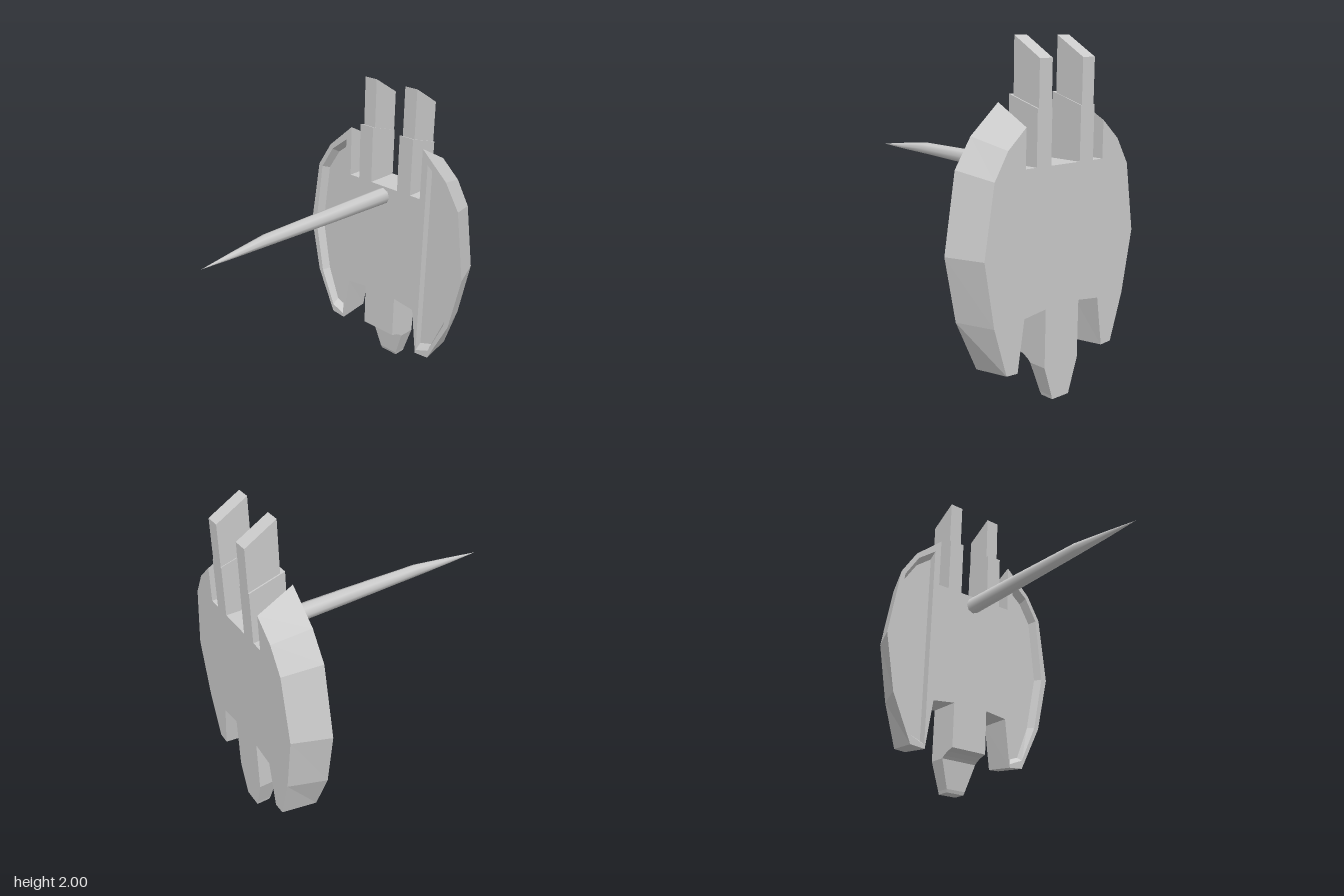
import * as THREE from 'three';

const FRONT = -0.635, BACK = -0.85;
const material = new THREE.MeshStandardMaterial({ color: 0xcccccc, flatShading: true });
const smooth = new THREE.MeshStandardMaterial({ color: 0xcccccc });

const v2 = (pts) => pts.map(([x, y]) => new THREE.Vector2(x, y));
const mirror = (pts) => pts.map(([x, y]) => [-x, y]).reverse();

function mesh(name, geometry, mat = material) {
  const m = new THREE.Mesh(geometry, mat);
  m.name = name;
  return m;
}

function fromTriangles(positions) {
  const g = new THREE.BufferGeometry();
  g.setAttribute('position', new THREE.Float32BufferAttribute(positions, 3));
  g.computeVertexNormals();
  return g;
}

// Flat cap at depth z, facing +z, or -z when flipped
function addCap(out, outline, holes, z, flip = false) {
  const all = [outline, ...holes].flat();
  for (const [a, b, c] of THREE.ShapeUtils.triangulateShape(v2(outline), holes.map(v2))) {
    for (const i of flip ? [a, c, b] : [a, b, c]) out.push(all[i][0], all[i][1], z);
  }
}

// Wall between two counter-clockwise loops; faces outward when loop a is behind loop b
function addWall(out, a, za, b, zb) {
  a.forEach((p, i) => {
    const j = (i + 1) % a.length;
    const A = [...p, za], B = [...a[j], za], C = [...b[j], zb], D = [...b[i], zb];
    out.push(...A, ...B, ...C, ...A, ...C, ...D);
  });
}

// Side profile of [z, y] points extruded across x from x0 to x1
function sideExtrude(profile, x0, x1) {
  const shape = new THREE.Shape(v2(profile.map(([z, y]) => [-z, y])));
  const g = new THREE.ExtrudeGeometry(shape, { depth: x1 - x0, bevelEnabled: false });
  return g.rotateY(Math.PI / 2).translate(x0, 0, 0);
}

// Plate with flared rim, two side lobes and a shallow pocket in each lobe
function makeBody() {
  const frontHalf = [[0.13, 0.54], [0.29, 0.52], [0.335, 0.2], [0.44, 0.21], [0.585, 0.51],
    [0.66, 0.88], [0.59, 1.325], [0.485, 1.49], [0.295, 1.655], [0.295, 1.325]];
  const backHalf = [[0.13, 0.54], [0.29, 0.52], [0.335, 0.225], [0.415, 0.23], [0.505, 0.51],
    [0.575, 0.88], [0.51, 1.28], [0.42, 1.43], [0.295, 1.54], [0.295, 1.325]];
  const front = [...frontHalf, ...mirror(frontHalf)];
  const back = [...backHalf, ...mirror(backHalf)];

  const rim = [[0.34, 0.225], [0.44, 0.265], [0.55, 0.51], [0.617, 0.88], [0.56, 1.315],
    [0.465, 1.465], [0.34, 1.56]];
  const floor = [[0.34, 0.26], [0.44, 0.295], [0.527, 0.52], [0.592, 0.88], [0.537, 1.3],
    [0.45, 1.435], [0.34, 1.52]];
  const depth = FRONT - 0.05;

  const out = [];
  addCap(out, back, [], BACK, true);
  addWall(out, back, BACK, front, FRONT);
  addCap(out, front, [rim, mirror(rim)], FRONT);
  for (const [r, f] of [[rim, floor], [mirror(rim), mirror(floor)]]) {
    addWall(out, r, FRONT, f, depth);
    addCap(out, f, [], depth);
  }
  return mesh('body', fromTriangles(out));
}

// Tail block that curves back under its front and tapers to a blunt end
function makeTail() {
  const levels = [ // y, half width, front z
    [0.01, 0.065, -0.765], [0.02, 0.07, -0.758], [0.2, 0.13, -0.737],
    [0.215, 0.13, -0.72], [0.235, 0.13, -0.685], [0.25, 0.13, FRONT], [0.56, 0.13, FRONT],
  ];
  levels[0][0] = 0;
  const loops = levels.map(([y, w, z]) => [[-w, y, z], [w, y, z], [w, y, BACK], [-w, y, BACK]]);
  const out = [];
  const quad = (a, b, c, d) => out.push(...a, ...b, ...c, ...a, ...c, ...d);
  for (let i = 0; i < loops.length - 1; i++) {
    for (let k = 0; k < 4; k++) {
      const n = (k + 1) % 4;
      quad(loops[i][k], loops[i][n], loops[i + 1][n], loops[i + 1][k]);
    }
  }
  const bottom = loops[0], top = loops[loops.length - 1];
  quad(bottom[3], bottom[2], bottom[1], bottom[0]);
  quad(...top);
  return mesh('tail', fromTriangles(out));
}

// Stepped prong with slanted tops
function makeProng(side) {
  const prong = new THREE.Group();
  prong.name = side > 0 ? 'leftProng' : 'rightProng';
  const span = (a, b) => (side > 0 ? [a, b] : [-b, -a]);
  const base = [[FRONT, 1.3], [BACK, 1.3], [BACK, 1.63], [FRONT, 1.695]];
  const tip = [[-0.66, 1.6], [BACK, 1.6], [BACK, 1.885], [-0.66, 2]];
  prong.add(mesh('prongBase', sideExtrude(base, ...span(0.11, 0.217))));
  prong.add(mesh('prongTip', sideExtrude(tip, ...span(0.115, 0.208))));
  return prong;
}

// Long tapered spike, its centre line rising slightly before the point
function makeSpike() {
  const profile = v2([[0.055, -0.67], [0.054, FRONT], [0.047, -0.13], [0.037, 0.38],
    [0.019, 0.63], [0, 0.85]]);
  const g = new THREE.LatheGeometry(profile, 8).rotateX(Math.PI / 2);
  const pos = g.attributes.position;
  for (let i = 0; i < pos.count; i++) {
    const z = pos.getZ(i);
    const rise = z < 0.38 ? 0.024 * (z - FRONT) / 1.015 : 0.024 - 0.017 * (z - 0.38) / 0.47;
    pos.setXYZ(i, pos.getX(i) - 0.007, pos.getY(i) + 1.258 + rise, z);
  }
  g.computeVertexNormals();
  return mesh('spike', g, smooth);
}

export function createModel() {
  const model = new THREE.Group();
  model.name = 'model';
  model.add(makeBody(), makeTail(), makeProng(1), makeProng(-1), makeSpike());
  return model;
}
